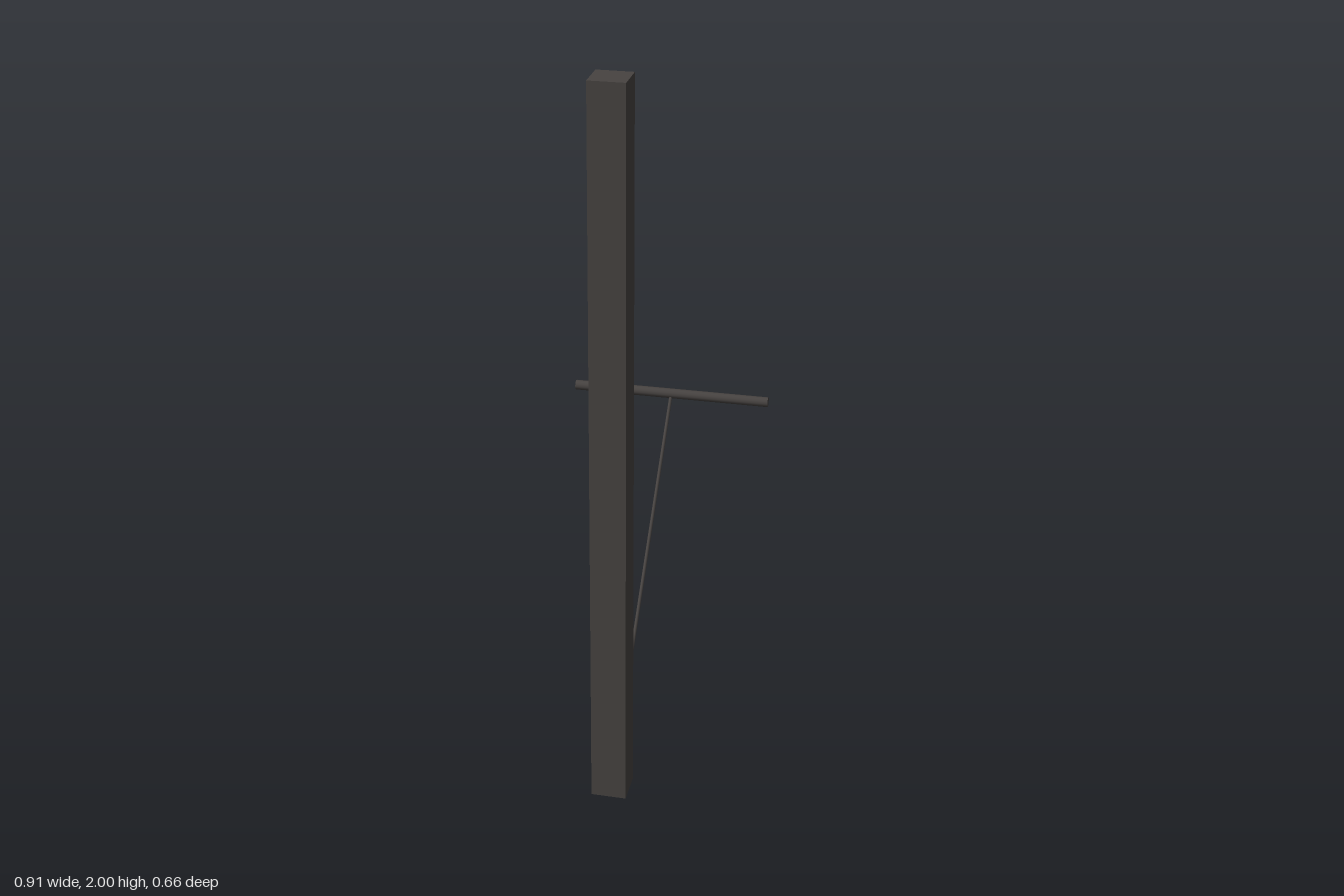
import * as THREE from 'three';

export function createModel() {
  const model = new THREE.Group();
  model.name = 'cablePulleyMachine';
  const metal = new THREE.MeshStandardMaterial({ color: 0x474341 });
  metal.name = 'dark metal';

  // Everything lies in one vertical plane, turned about the post.
  const machine = new THREE.Group();
  machine.name = 'machine';
  machine.position.set(-0.394, 0, 0.266);
  machine.rotation.y = THREE.MathUtils.degToRad(24.8);
  model.add(machine);

  const add = (name, geometry, x, y) => {
    const mesh = new THREE.Mesh(geometry, metal);
    mesh.name = name;
    mesh.position.set(x, y, 0);
    machine.add(mesh);
    return mesh;
  };

  // Upright square post
  add('post', new THREE.BoxGeometry(0.095, 2, 0.095), 0, 1);

  // Pulley wheel and handle bar, both lying across the plane
  const pulley = add('pulley', new THREE.CylinderGeometry(0.048, 0.048, 0.03, 24), 0.0745, 0.1);
  const handle = add('handle', new THREE.CylinderGeometry(0.0143, 0.0143, 0.57, 12), 0.788, 0.83);
  for (const part of [pulley, handle]) part.rotation.x = Math.PI / 2;

  // Taut cable from pulley centre to handle centre
  const span = handle.position.clone().sub(pulley.position);
  const middle = pulley.position.clone().addScaledVector(span, 0.5);
  const cable = add('cable', new THREE.CylinderGeometry(0.0048, 0.0048, span.length(), 8), middle.x, middle.y);
  cable.quaternion.setFromUnitVectors(new THREE.Vector3(0, 1, 0), span.normalize());

  return model;
}
